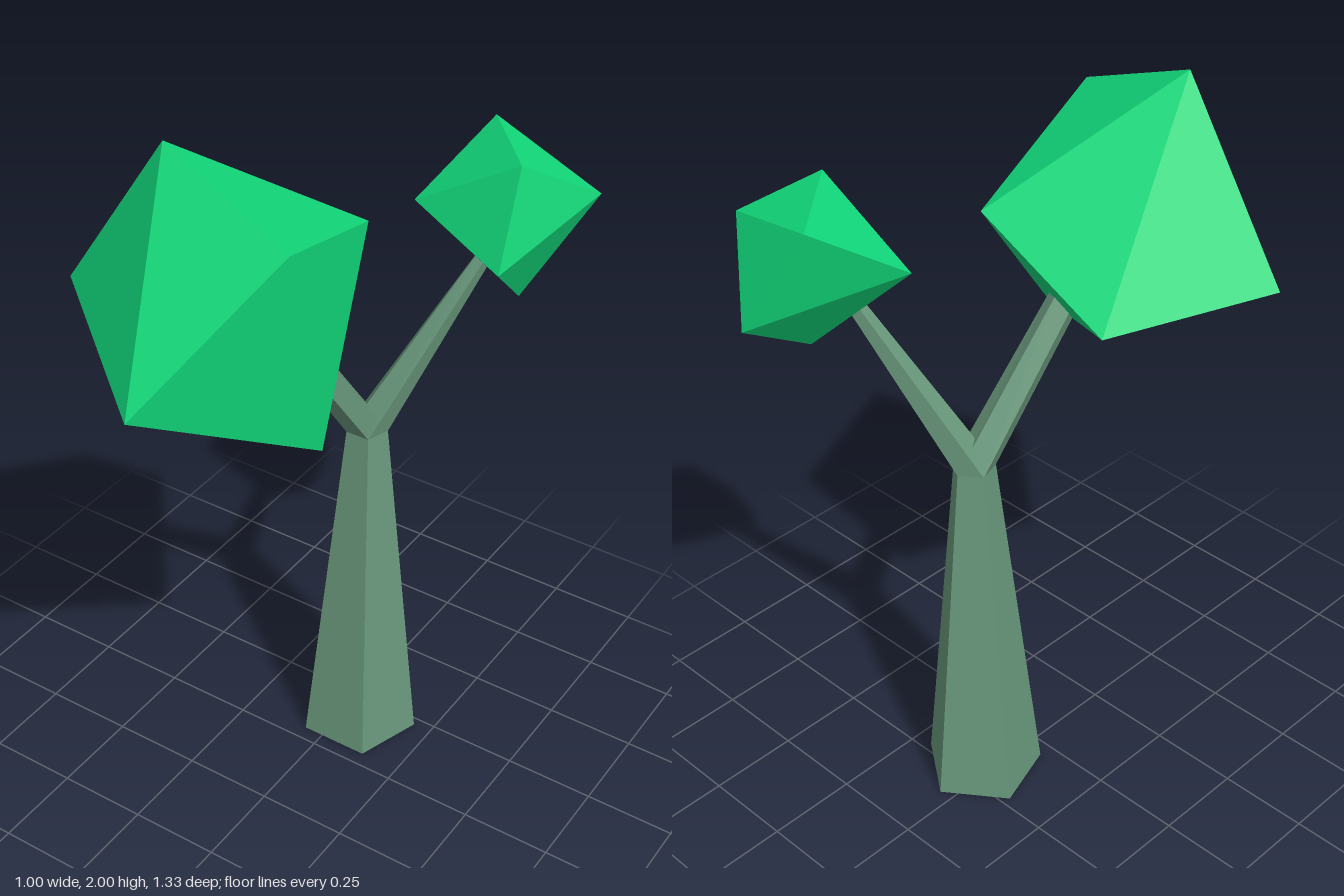
import * as THREE from 'three';
import { ConvexGeometry } from 'three/addons/geometries/ConvexGeometry.js';

const SIDES = 5;
const UP = new THREE.Vector3(0, 1, 0);

// Five-sided ring around a centre, its plane square to the given direction
function ring(center, radius, dir = UP) {
  const q = new THREE.Quaternion().setFromUnitVectors(UP, dir.clone().normalize());
  return Array.from({ length: SIDES }, (_, i) => {
    const a = -Math.PI / 2 + (i * 2 * Math.PI) / SIDES;
    return new THREE.Vector3(Math.cos(a) * radius, 0, Math.sin(a) * radius)
      .applyQuaternion(q)
      .add(center);
  });
}

// Closed tapering limb between two rings
function loft(lower, upper) {
  const pts = [];
  for (let i = 0; i < SIDES; i++) {
    const j = (i + 1) % SIDES;
    pts.push(lower[i], upper[i], upper[j], lower[i], upper[j], lower[j]);
    if (i > 0 && j > 0) {
      pts.push(lower[0], lower[i], lower[j]);
      pts.push(upper[0], upper[j], upper[i]);
    }
  }
  const geometry = new THREE.BufferGeometry().setFromPoints(pts);
  geometry.computeVertexNormals();
  return geometry;
}

export function createModel() {
  const group = new THREE.Group();
  group.name = 'tree';
  const bark = new THREE.MeshStandardMaterial({ color: 0x69987c, flatShading: true });
  const leaves = new THREE.MeshStandardMaterial({ color: 0x11d87a, flatShading: true });

  const add = (name, geometry, material) => {
    const mesh = new THREE.Mesh(geometry, material);
    mesh.name = name;
    group.add(mesh);
  };

  // Trunk
  const fork = new THREE.Vector3(0.045, 1.02, -0.18);
  const forkRing = ring(fork, 0.057);
  add('trunk', loft(ring(new THREE.Vector3(0.04, 0, -0.175), 0.165), forkRing), bark);

  // Branches grow out of the trunk's top ring
  const branch = (name, x, y, z, radius) => {
    const tip = new THREE.Vector3(x, y, z);
    add(name, loft(forkRing, ring(tip, radius, tip.clone().sub(fork))), bark);
  };
  branch('frontBranch', -0.015, 1.42, 0.085, 0.042);
  branch('backBranch', 0.265, 1.53, -0.382, 0.02);

  // Leaf crowns: skewed five-sided bipyramids, two tips then the belt
  const crown = (name, points) =>
    add(name, new ConvexGeometry(points.map((p) => new THREE.Vector3(...p))), leaves);
  crown('frontCrown', [
    [-0.18, 2.0, 0.33], [0.19, 1.26, 0.25],
    [-0.5, 1.54, 0.31], [-0.32, 1.52, -0.115], [0.095, 1.69, -0.09],
    [0.19, 1.85, 0.38], [-0.06, 1.48, 0.665],
  ]);
  crown('backCrown', [
    [0.5, 1.7, -0.5], [0.075, 1.63, -0.335],
    [0.36, 1.8, -0.345], [0.165, 1.79, -0.57], [0.3, 1.52, -0.665],
    [0.325, 1.38, -0.445], [0.36, 1.54, -0.26],
  ]);

  return group;
}
